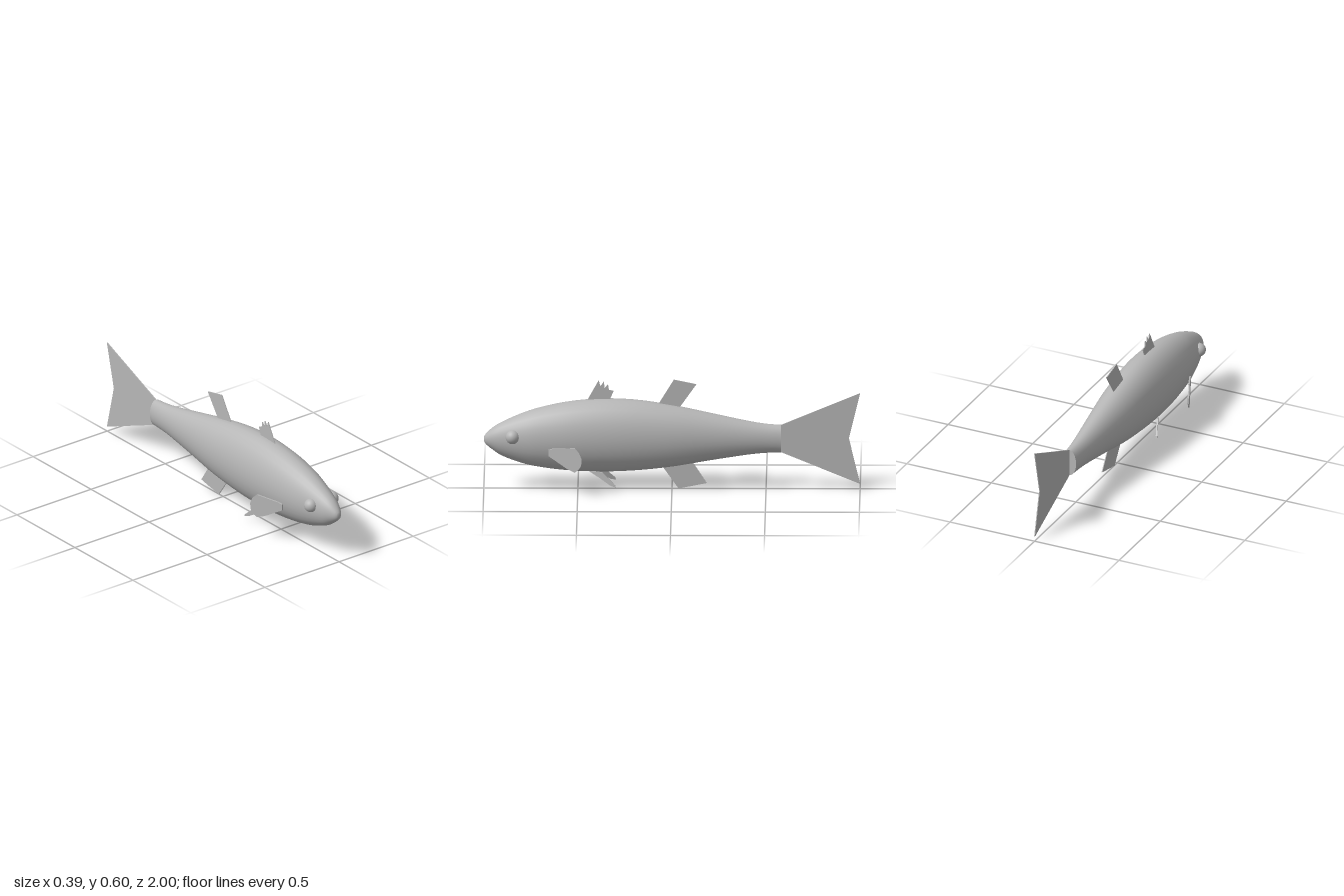
import * as THREE from 'three';

const grey = new THREE.MeshStandardMaterial({ color: 0xb6b6b6 });
grey.name = 'grey';

// body stations: z, top, bottom, half width
const STATIONS = [
  [0.998, 0.285, 0.255, 0.012], [0.985, 0.303, 0.238, 0.026], [0.95, 0.335, 0.21, 0.046],
  [0.9, 0.365, 0.178, 0.064], [0.8, 0.41, 0.141, 0.09], [0.7, 0.443, 0.119, 0.109],
  [0.55, 0.475, 0.101, 0.124], [0.38, 0.491, 0.095, 0.129], [0.2, 0.486, 0.101, 0.125],
  [0, 0.457, 0.122, 0.111], [-0.2, 0.415, 0.156, 0.086], [-0.4, 0.372, 0.187, 0.06],
  [-0.5, 0.356, 0.197, 0.048], [-0.58, 0.35, 0.2, 0.041],
];

// body: elliptical rings lofted from the nose to the tail root
function bodyGeometry(rows = 44, sides = 28) {
  const edges = new THREE.CatmullRomCurve3(STATIONS.map(s => new THREE.Vector3(s[0], s[1], s[2])), false, 'catmullrom');
  const widths = new THREE.CatmullRomCurve3(STATIONS.map(s => new THREE.Vector3(s[0], s[3], 0)), false, 'catmullrom');
  const pos = [0, 0.27, 1], index = [];
  for (let i = 0; i <= rows; i++) {
    const e = edges.getPoint(i / rows), w = widths.getPoint(i / rows).y;
    for (let j = 0; j < sides; j++) {
      const a = j / sides * Math.PI * 2;
      pos.push(w * Math.cos(a), (e.y + e.z) / 2 + (e.y - e.z) / 2 * Math.sin(a), e.x);
    }
  }
  const at = (i, j) => 1 + i * sides + j % sides;
  for (let j = 0; j < sides; j++) {
    index.push(0, at(0, j), at(0, j + 1));
    for (let i = 0; i < rows; i++) {
      index.push(at(i, j), at(i + 1, j), at(i, j + 1), at(i, j + 1), at(i + 1, j), at(i + 1, j + 1));
    }
  }
  const g = new THREE.BufferGeometry();
  g.setAttribute('position', new THREE.Float32BufferAttribute(pos, 3));
  g.setIndex(index);
  g.computeVertexNormals();
  return g;
}

// thin fin outlined in [z, y]; base and slope sweep it outward towards the tail
function finGeometry(points, thickness, side = 0, base = 0, slope = 0) {
  const shape = new THREE.Shape(points.map(([z, y]) => new THREE.Vector2(-z, y)));
  const g = new THREE.ExtrudeGeometry(shape, { depth: thickness, bevelEnabled: false });
  g.translate(0, 0, -thickness / 2).rotateY(Math.PI / 2);
  const p = g.attributes.position, front = points[0][0];
  for (let i = 0; i < p.count; i++) {
    p.setX(i, p.getX(i) + side * (base + slope * (front - p.getZ(i))));
  }
  g.computeVertexNormals();
  return g;
}

const TAIL = [[-0.56, 0.34], [-0.58, 0.35], [-1, 0.525], [-0.94, 0.277], [-1, 0.027], [-0.58, 0.2], [-0.56, 0.21]];
const SPINY = [[0.455, 0.475], [0.39, 0.592], [0.38, 0.56], [0.362, 0.587], [0.358, 0.55],
  [0.34, 0.572], [0.335, 0.54], [0.31, 0.535], [0.335, 0.475]];
const DORSAL = [[0.08, 0.45], [-0.01, 0.597], [-0.13, 0.572], [-0.03, 0.43]];
const ANAL = [[0.06, 0.135], [-0.1, 0.16], [-0.185, 0.03], [-0.035, 0]];
const PECTORAL = [[0.655, 0.205], [0.655, 0.24], [0.63, 0.248], [0.515, 0.263], [0.492, 0.24], [0.478, 0.205],
  [0.482, 0.17], [0.495, 0.148], [0.515, 0.13], [0.56, 0.148]];
const PELVIC = [[0.445, 0.104], [0.37, 0.102], [0.33, 0.065], [0.302, 0.038], [0.298, 0.026], [0.325, 0.033], [0.385, 0.07]];

export function createModel() {
  const group = new THREE.Group();
  group.name = 'fish';
  const add = (name, geometry) => {
    const mesh = new THREE.Mesh(geometry, grey);
    mesh.name = name;
    group.add(mesh);
    return mesh;
  };

  add('body', bodyGeometry());

  // flat closing face where the tail begins
  const cap = add('tailRoot', new THREE.CircleGeometry(1, 28));
  cap.scale.set(0.041, 0.075, 1);
  cap.rotation.y = Math.PI;
  cap.position.set(0, 0.275, -0.58);

  // fins on the centre line
  add('tailFin', finGeometry(TAIL, 0.005));
  add('spinyDorsalFin', finGeometry(SPINY, 0.005));
  add('rearDorsalFin', finGeometry(DORSAL, 0.005));
  add('analFin', finGeometry(ANAL, 0.005));

  // paired fins and eyes
  for (const [side, label] of [[1, 'left'], [-1, 'right']]) {
    add(label + 'PectoralFin', finGeometry(PECTORAL, 0.009, side, 0.112, 0.43));
    add(label + 'PelvicFin', finGeometry(PELVIC, 0.009, side, 0.025, 0.42));
    const eye = add(label + 'Eye', new THREE.SphereGeometry(0.037, 24, 16));
    eye.position.set(side * 0.07, 0.297, 0.847);
  }
  return group;
}
